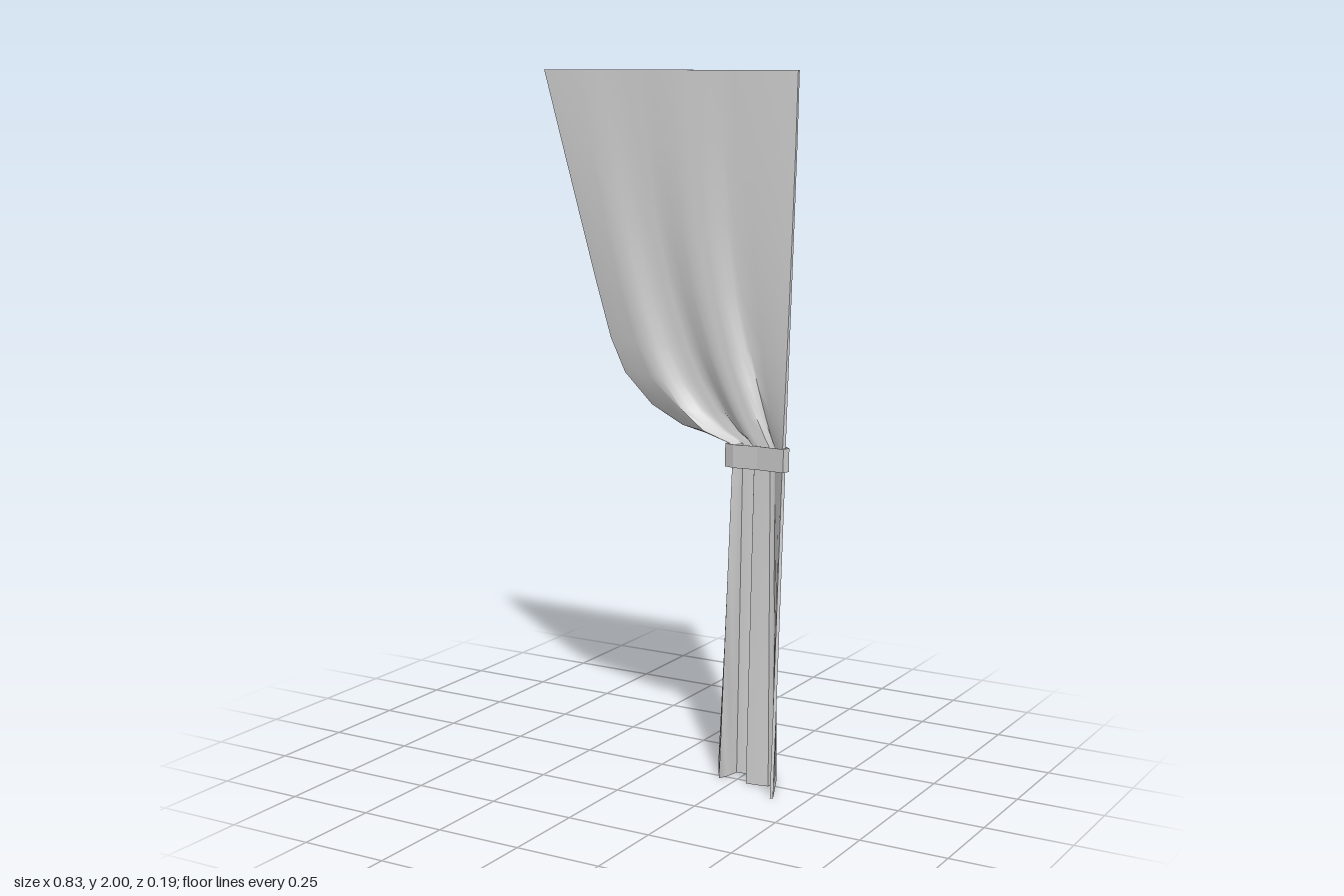
import * as THREE from 'three';
import { toCreasedNormals } from 'three/addons/utils/BufferGeometryUtils.js';

// Pleat corners: [share of cloth width, waist x, waist z, hem x, hem z]
const PLEATS = [
  [0, 0.203, -0.065, 0.143, -0.09],
  [0.22, 0.225, -0.012, 0.203, 0.016],
  [0.34, 0.235, -0.045, 0.218, -0.05],
  [0.43, 0.275, -0.05, 0.26, -0.06],
  [0.57, 0.3, 0.0, 0.29, 0.016],
  [0.66, 0.345, 0.0, 0.35, 0.006],
  [0.75, 0.347, -0.03, 0.347, -0.045],
  [1, 0.4, 0.024, 0.406, 0.091],
];
const TOP_Y = 2, WAIST_Y = 0.97, TOP_Z = -0.045, HALF = 0.0045, SUB = 3;

// Free edge of the swag: [share of drop, share of sideways pull]
const SWAG = [
  [0, 0], [0.2, 0.092], [0.4, 0.184], [0.58, 0.267], [0.74, 0.345],
  [0.835, 0.42], [0.92, 0.565], [0.97, 0.73], [1, 1],
];

function pleatColumns() {
  const cols = [];
  for (let i = 0; i < PLEATS.length - 1; i++) {
    for (let s = 0; s < SUB; s++) {
      cols.push(PLEATS[i].map((v, k) => THREE.MathUtils.lerp(v, PLEATS[i + 1][k], s / SUB)));
    }
  }
  cols.push(PLEATS[PLEATS.length - 1]);
  return cols;
}

// Rows of cloth points from the rail down to the hem
function clothRows() {
  const cols = pleatColumns(), rows = [];
  for (const [drop, pull] of SWAG) {
    rows.push(cols.map(([u, wx, wz]) => {
      const inner = Math.min(1, u * 1.5);
      const gather = THREE.MathUtils.lerp(pull, Math.pow(drop, 2.6), inner);
      const topX = -0.416 + 0.814 * u;
      return new THREE.Vector3(
        THREE.MathUtils.lerp(topX, wx, gather),
        THREE.MathUtils.lerp(TOP_Y, WAIST_Y, drop),
        THREE.MathUtils.lerp(TOP_Z, wz, Math.pow(drop, 1.2)));
    }));
  }
  for (let k = 0; k <= 4; k++) {
    const t = k / 4;
    rows.push(cols.map(([, wx, wz, hx, hz]) => new THREE.Vector3(
      THREE.MathUtils.lerp(wx, hx, t), 0.93 * (1 - t), THREE.MathUtils.lerp(wz, hz, t))));
  }
  return rows;
}

// Thin sheet with a front, a back and a closed rim
function sheetGeometry(rows) {
  const nr = rows.length, nc = rows[0].length;
  const shift = (side) => rows.map((row) => row.map((p, i) => {
    const a = row[Math.max(0, i - 1)], b = row[Math.min(nc - 1, i + 1)];
    const n = new THREE.Vector3(a.z - b.z, 0, b.x - a.x).normalize();
    return p.clone().addScaledVector(n, side * HALF);
  }));
  const front = shift(1), back = shift(-1), pos = [];
  const quad = (a, b, c, d) => [a, b, c, a, c, d].forEach((p) => pos.push(p.x, p.y, p.z));
  for (let j = 0; j < nr - 1; j++) {
    for (let i = 0; i < nc - 1; i++) {
      quad(front[j][i], front[j + 1][i], front[j + 1][i + 1], front[j][i + 1]);
      quad(back[j][i], back[j][i + 1], back[j + 1][i + 1], back[j + 1][i]);
    }
    const e = nc - 1;
    quad(back[j][0], back[j + 1][0], front[j + 1][0], front[j][0]);
    quad(front[j][e], front[j + 1][e], back[j + 1][e], back[j][e]);
  }
  for (let i = 0; i < nc - 1; i++) {
    const h = nr - 1;
    quad(front[0][i], front[0][i + 1], back[0][i + 1], back[0][i]);
    quad(front[h][i], back[h][i], back[h][i + 1], front[h][i + 1]);
  }
  const geo = new THREE.BufferGeometry();
  geo.setAttribute('position', new THREE.Float32BufferAttribute(pos, 3));
  return toCreasedNormals(geo, 1.0);
}

// Flat strap looped round the gathered cloth
function bandGeometry() {
  const outline = [[0.2, -0.08], [0.196, -0.015], [0.23, 0.003], [0.31, 0.012],
    [0.405, 0.038], [0.412, 0.016], [0.345, -0.052]];
  const loop = (k) => outline.map(([x, z]) =>
    new THREE.Vector2(0.3 + (x - 0.3) * k, -(-0.018 + (z + 0.018) * k)));
  const shape = new THREE.Shape(loop(1));
  shape.holes.push(new THREE.Path(loop(0.93)));
  const geo = new THREE.ExtrudeGeometry(shape, { depth: 0.066, bevelEnabled: false });
  geo.rotateX(-Math.PI / 2).translate(0, 0.91, 0);
  // The strap rises slightly towards the wall side
  const p = geo.attributes.position;
  for (let i = 0; i < p.count; i++) p.setY(i, p.getY(i) + (p.getX(i) - 0.3) * 0.05);
  geo.computeVertexNormals();
  return geo;
}

export function createModel() {
  const group = new THREE.Group();
  group.name = 'tiedCurtain';
  const cloth = new THREE.MeshStandardMaterial({ color: 0xcccccc });
  cloth.name = 'pale grey cloth';

  const curtain = new THREE.Mesh(sheetGeometry(clothRows()), cloth);
  curtain.name = 'curtain';
  const band = new THREE.Mesh(bandGeometry(), cloth);
  band.name = 'tieBack';
  group.add(curtain, band);
  return group;
}
